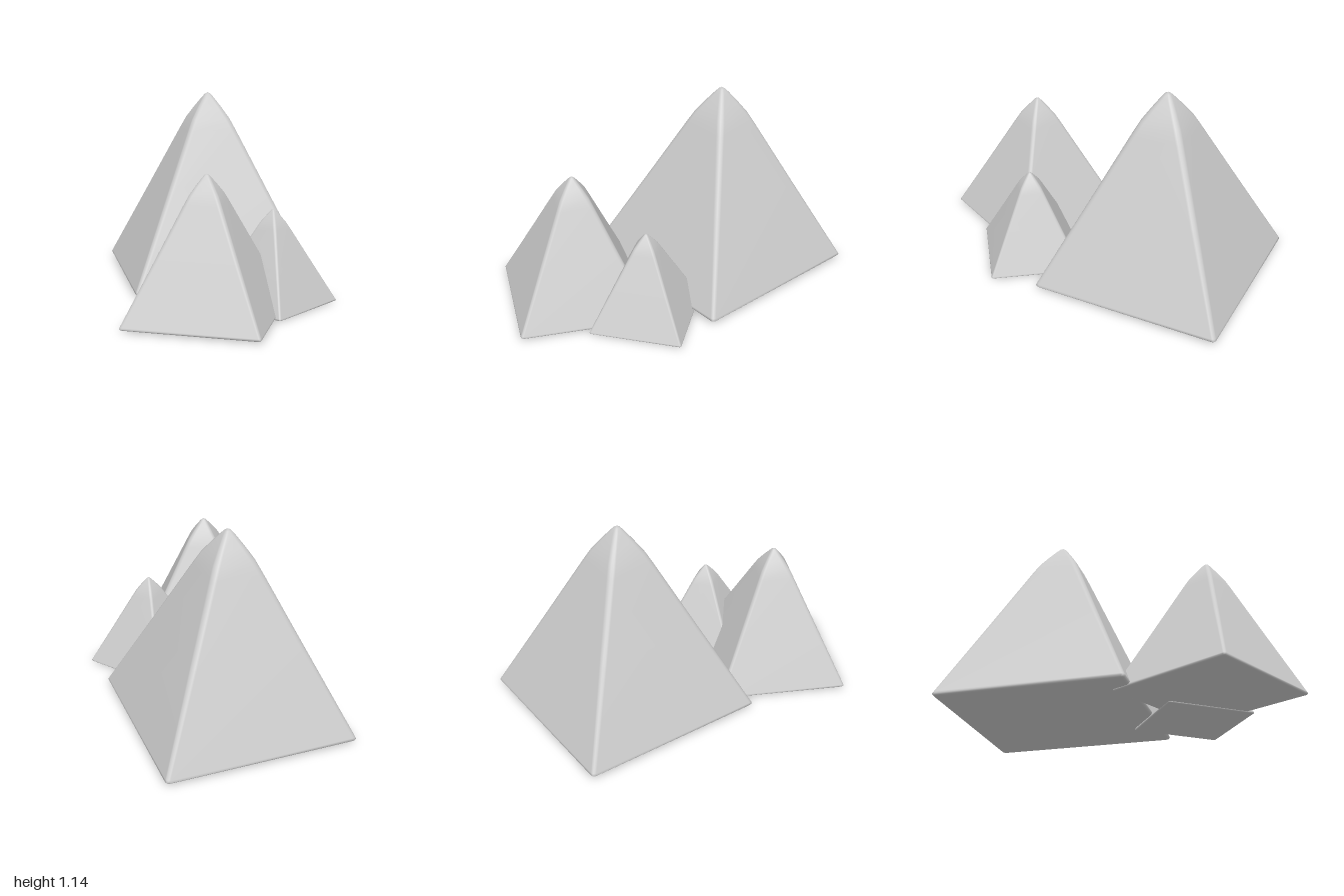
import * as THREE from 'three';

const SEG = 4; // segments per rounded corner

// Unit profile: [height, half width, corner radius]
const PROFILE = [
  [0, 0.965, 0.02], [0.004, 0.987, 0.03], [0.012, 1, 0.035], [0.022, 0.993, 0.04],
  [0.45, 0.597, 0.055], [0.8, 0.274, 0.06], [0.86, 0.216, 0.06],
  [0.92, 0.137, 0.05], [0.97, 0.066, 0.04], [0.99, 0.032, 0.025],
];

// Pyramid with softened edges, stacked from rounded-square rings
function pyramidGeometry(half, height) {
  const pos = [], index = [], n = 4 * (SEG + 1);
  for (const [y, w, r] of PROFILE) {
    for (let c = 0; c < 4; c++) {
      const mid = Math.PI / 4 + c * Math.PI / 2;
      for (let k = 0; k <= SEG; k++) {
        const a = mid + (k / SEG - 0.5) * Math.PI / 2;
        pos.push(
          half * (Math.sign(Math.cos(mid)) * (w - r) + r * Math.cos(a)),
          y * height,
          half * (Math.sign(Math.sin(mid)) * (w - r) + r * Math.sin(a)));
      }
    }
  }
  const base = pos.length / 3, apex = base + 1, last = (PROFILE.length - 1) * n;
  pos.push(0, 0, 0, 0, height, 0);
  for (let j = 0; j < n; j++) {
    const k = (j + 1) % n;
    for (let i = 0; i < PROFILE.length - 1; i++) {
      const a = i * n + j, b = i * n + k;
      index.push(a, a + n, b, b, a + n, b + n);
    }
    index.push(base, j, k, last + j, apex, last + k);
  }
  const geo = new THREE.BufferGeometry();
  geo.setAttribute('position', new THREE.Float32BufferAttribute(pos, 3));
  geo.setIndex(index);
  geo.computeVertexNormals();
  return geo;
}

export function createModel() {
  const group = new THREE.Group();
  group.name = 'pyramids';
  const stone = new THREE.MeshStandardMaterial({ color: 0xcccccc });
  stone.name = 'light grey';

  // name, half side, height, x, base y, z, turn
  const parts = [
    ['largePyramid', 0.548, 1.127, 0.073, 0.015, -0.452, 0],
    ['mediumPyramid', 0.38, 0.788, -0.143, 0.007, 0.49, -0.47],
    ['smallPyramid', 0.264, 0.545, 0.282, 0, 0.307, 0.62],
  ];
  for (const [name, half, height, x, y, z, turn] of parts) {
    const mesh = new THREE.Mesh(pyramidGeometry(half, height), stone);
    mesh.name = name;
    mesh.position.set(x, y, z);
    mesh.rotation.y = turn;
    group.add(mesh);
  }
  return group;
}
